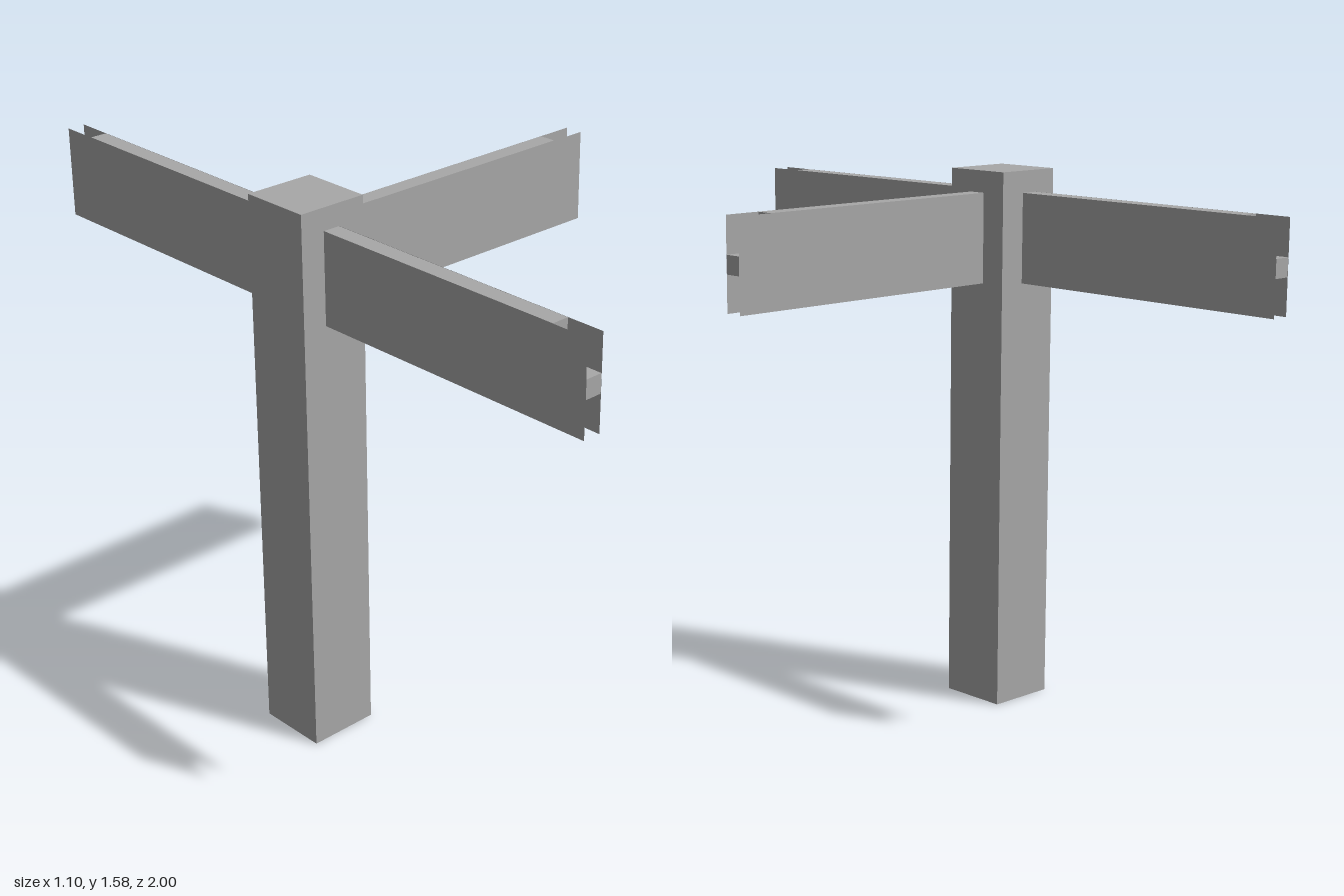
import * as THREE from 'three';

const POST = { x: -0.45, width: 0.206, height: 1.58 };
const ARM = { bottom: 1.257, height: 0.26, width: 0.052 };

export function createModel() {
  const group = new THREE.Group();
  const grey = new THREE.MeshStandardMaterial({ color: 0xa8a8a8, side: THREE.DoubleSide });
  grey.name = 'plain grey';

  // Hollow post: four walls and a top, open underneath
  const post = new THREE.Group();
  post.name = 'post';
  post.position.x = POST.x;
  const half = POST.width / 2;
  for (let i = 0; i < 4; i++) {
    const side = new THREE.Group();
    const wall = new THREE.Mesh(new THREE.PlaneGeometry(POST.width, POST.height), grey);
    wall.name = 'postWall';
    wall.position.set(0, POST.height / 2, half);
    side.rotation.y = i * Math.PI / 2;
    side.add(wall);
    post.add(side);
  }
  const cap = new THREE.Mesh(new THREE.PlaneGeometry(POST.width, POST.width), grey);
  cap.name = 'postTop';
  cap.rotation.x = -Math.PI / 2;
  cap.position.y = POST.height;
  post.add(cap);
  group.add(post);

  // Arm along local +x: a core with a stepped tongue between two thin side boards
  function addArm(name, x, z, length, angle) {
    const arm = new THREE.Group();
    arm.name = name;
    const h = ARM.height, step = h / 5, run = 0.054;
    const shape = new THREE.Shape();
    shape.moveTo(0, 0);
    [[2, 0], [2, 1], [1, 1], [1, 2], [0, 2], [0, 3], [1, 3], [1, 4], [2, 4], [2, 5]]
      .forEach(([back, up]) => shape.lineTo(length - back * run, up * step));
    shape.lineTo(0, h);
    const depth = ARM.width - 0.002;
    const core = new THREE.Mesh(new THREE.ExtrudeGeometry(shape, { depth, bevelEnabled: false }), grey);
    core.name = 'armCore';
    core.position.z = -depth / 2;
    arm.add(core);
    for (const s of [-1, 1]) {
      const board = new THREE.Mesh(new THREE.PlaneGeometry(length, h), grey);
      board.name = 'armSide';
      board.position.set(length / 2, h / 2, s * ARM.width / 2);
      if (s < 0) board.rotation.y = Math.PI;
      arm.add(board);
    }
    arm.position.set(x, ARM.bottom, z);
    arm.rotation.y = angle;
    group.add(arm);
  }

  addArm('leftArm', POST.x + half, 0, 0.55 - POST.x - half, 0);
  addArm('frontArm', POST.x - 0.004, half, 1 - half, -Math.PI / 2);
  addArm('backArm', POST.x - 0.004, -half, 1 - half, Math.PI / 2);

  return group;
}
